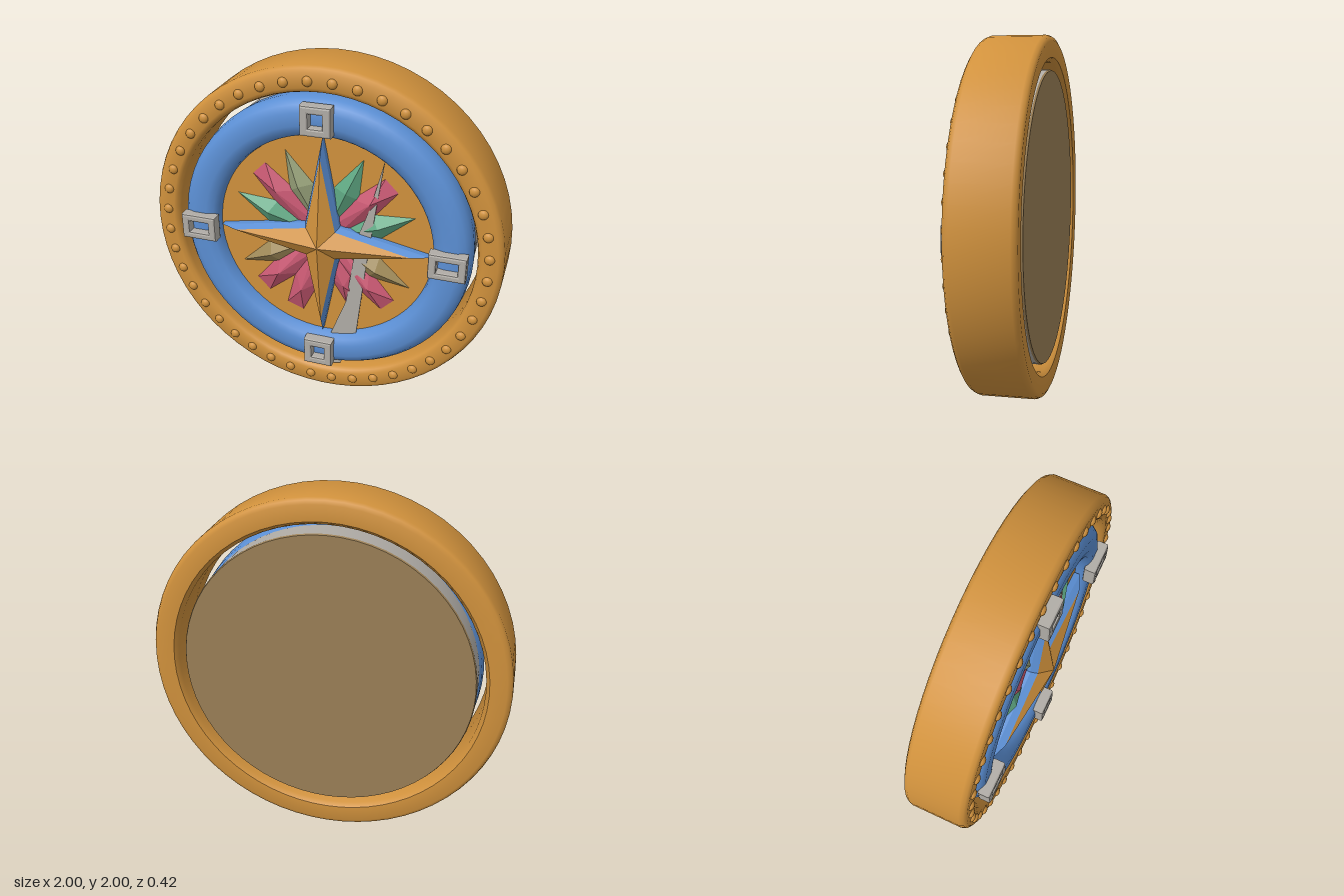
import * as THREE from 'three';
import { toCreasedNormals } from 'three/addons/utils/BufferGeometryUtils.js';

const paint = (name, color) => {
  const m = new THREE.MeshStandardMaterial({ color });
  m.name = name;
  return m;
};

export function createModel() {
  const gold = paint('gold', 0xd0913c), blue = paint('blue', 0x5b8fd4);
  const silver = paint('silver', 0xb0aca6), pink = paint('pink', 0xc85872);
  const green = paint('green', 0x5fa883), sage = paint('sage', 0x96a078);
  const olive = paint('olive', 0xa08a58), tan = paint('tan', 0x9a7f56);
  const model = new THREE.Group();
  model.name = 'compassMedallion';
  const dial = new THREE.Group(); // everything is built around the dial centre
  dial.name = 'dial';
  dial.position.y = 1;
  model.add(dial);

  const add = (name, geometry, material, parent = dial) => {
    const mesh = new THREE.Mesh(geometry, material);
    mesh.name = name;
    parent.add(mesh);
    return mesh;
  };

  // Ring or disc turned about the z axis from [radius, z] points
  const turned = (points, sides = 64) => toCreasedNormals(
    new THREE.LatheGeometry(points.map(([r, z]) => new THREE.Vector2(r, z)), sides).rotateX(Math.PI / 2), 0.75);

  // Triangles with flat normals
  const facets = (triangles) => {
    const g = new THREE.BufferGeometry();
    g.setAttribute('position', new THREE.Float32BufferAttribute(triangles.flat(2), 3));
    g.computeVertexNormals();
    return g;
  };
  // Faceted cap from a counter-clockwise outline up to one peak
  const fan = (outline, peak) =>
    facets(outline.map((p, i) => [p, outline[(i + 1) % outline.length], peak]));

  // Outer rim
  add('rim', turned([
    [0.86, -0.18], [0.88, -0.205], [0.97, -0.21], [0.99, -0.2], [1, -0.18], [1, 0.11],
    [0.99, 0.132], [0.97, 0.145], [0.89, 0.145], [0.87, 0.135], [0.86, 0.11], [0.86, -0.18],
  ]), gold);

  // Studs around the rim
  const studs = new THREE.Group();
  studs.name = 'studs';
  dial.add(studs);
  const studShape = new THREE.SphereGeometry(0.028, 12, 8).scale(1, 1, 0.7);
  for (let i = 0; i < 44; i++) {
    const a = ((i + 0.5) / 44) * Math.PI * 2;
    add('stud', studShape, gold, studs).position.set(0.925 * Math.cos(a), 0.925 * Math.sin(a), 0.143);
  }

  // Rounded inner band, dial face and closed back
  add('band', turned([
    [0.8, -0.08], [0.825, -0.03], [0.832, 0.05], [0.825, 0.1], [0.8, 0.133], [0.76, 0.15],
    [0.69, 0.15], [0.65, 0.138], [0.625, 0.11], [0.618, 0.07],
  ]), blue);
  add('dialFace', turned([[0.64, 0.075], [0, 0.075]]), gold);
  add('drumWall', turned([[0.815, -0.19], [0.815, -0.06]]), silver);
  add('backPlate', turned([[0, -0.2], [0.81, -0.2], [0.815, -0.19]]), tan);

  // Thin silver needle lying across the dial
  const needle = new THREE.Shape([
    [0.34, 0.53], [0.27, 0.25], [0.2, 0.05], [0.14, -0.38], [0.05, -0.62],
    [0, -0.855], [0.11, -0.83], [0.2, -0.62], [0.25, -0.15], [0.3, 0.24],
  ].map(([x, y]) => new THREE.Vector2(x, y)));
  add('needle', new THREE.ExtrudeGeometry(needle, { depth: 0.008, bevelEnabled: false }), silver)
    .position.z = 0.1;

  // Petals: pointed leaves and blunt cut gems, drawn along +x and turned into place
  const z = 0.076;
  const leaf = fan([[0.08, 0, z], [0.32, -0.075, z], [0.55, 0, z], [0.32, 0.075, z]], [0.34, 0, 0.125]);
  const gem = fan([[0.08, -0.03, z], [0.3, -0.075, z], [0.53, -0.052, z],
    [0.53, 0.052, z], [0.3, 0.075, z], [0.08, 0.03, z]], [0.38, 0, 0.125]);
  const petals = new THREE.Group();
  petals.name = 'petals';
  dial.add(petals);
  const petal = (name, shape, material, degrees, length = 1) => {
    const m = add(name, shape, material, petals);
    m.rotation.z = THREE.MathUtils.degToRad(degrees);
    m.scale.x = length;
  };
  for (const a of [22, 66.5, 158]) petal('leafPetal', leaf, green, a);
  petal('leafPetal', leaf, sage, 113.5);
  for (const a of [-25.5, 205.5]) petal('leafPetal', leaf, olive, a);
  for (const a of [45, 135, 225, -45]) petal('gemPetal', gem, pink, a);
  petal('gemPetal', gem, pink, 250, 0.99);
  petal('gemPetal', gem, pink, -65, 0.8);

  // Four-pointed star: gold ridged top with a sloping blue border
  const starOutline = (tip, notch, height) => Array.from({ length: 8 }, (_, i) => {
    const r = i % 2 ? notch : tip, a = (i * Math.PI) / 4;
    return [r * Math.cos(a), r * Math.sin(a), height];
  });
  const top = starOutline(0.51, 0.118, 0.148), foot = starOutline(0.605, 0.138, 0.11);
  const base = starOutline(0.605, 0.138, 0.075);
  const skirt = (low, high) => low.flatMap((p, i) => {
    const j = (i + 1) % 8;
    return [[p, low[j], high[j]], [p, high[j], high[i]]];
  });
  add('starTop', fan(top, [0, 0, 0.212]), gold);
  add('starBorder', facets([...skirt(foot, top), ...skirt(base, foot)]), blue);

  // Square buckles on the band
  const rect = (path, w, h) => path.moveTo(-w, -h).lineTo(w, -h).lineTo(w, h).lineTo(-w, h).closePath();
  const buckle = (x, y, w, h, holeW, holeH) => {
    const b = 0.012;
    const frame = rect(new THREE.Shape(), w / 2 - b, h / 2 - b);
    frame.holes.push(rect(new THREE.Path(), holeW / 2 + b, holeH / 2 + b));
    add('buckle', new THREE.ExtrudeGeometry(frame,
      { depth: 0.05, bevelSize: b, bevelThickness: b, bevelSegments: 2 }), silver).position.set(x, y, 0.138);
  };
  buckle(-0.01, 0.73, 0.17, 0.165, 0.075, 0.075);
  buckle(-0.005, -0.72, 0.17, 0.165, 0.075, 0.075);
  for (const s of [-1, 1]) buckle(s * 0.713, 0, 0.205, 0.15, 0.115, 0.068);

  return model;
}
